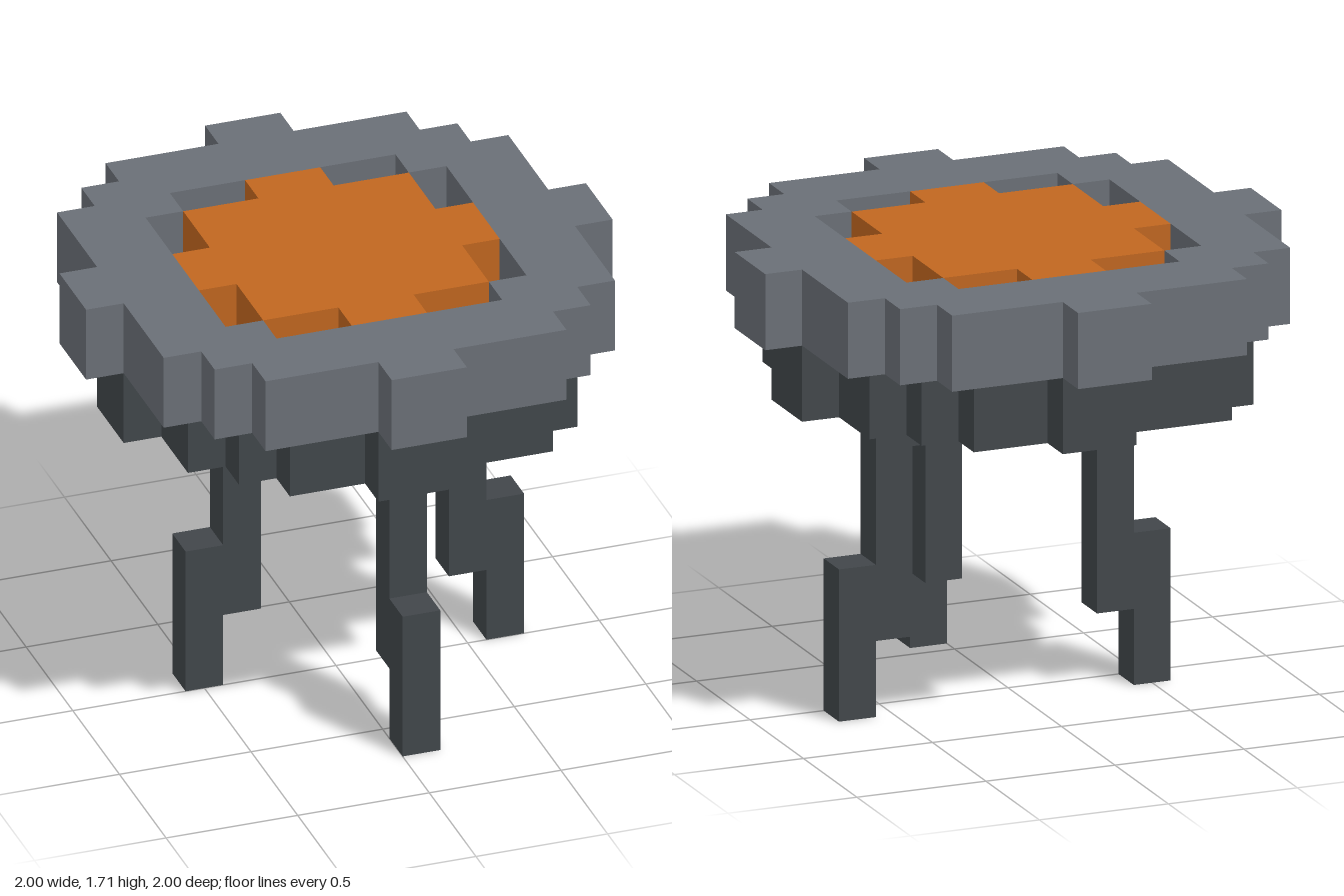
import * as THREE from 'three';

const U = 1 / 7; // size of one block

// Stair-stepped points of one quadrant, from the z axis side to the x axis side
function stairs(corners) {
  const pts = [];
  corners.forEach(([x, z], i) => {
    if (i > 0) pts.push([corners[i - 1][0], z]);
    pts.push([x, z]);
  });
  return pts;
}

// Closed blocky outline; the second list steps the two mixed-sign quadrants
function outline(same, mixed = same) {
  const a = stairs(same), b = stairs(mixed);
  const br = b.slice().reverse();
  return [
    ...a,
    ...br.map(([x, z]) => [x, -z]),
    ...a.map(([x, z]) => [-x, -z]),
    ...br.map(([x, z]) => [-x, z]),
  ].map(([x, z]) => new THREE.Vector2(x * U, -z * U));
}

// Horizontal slab between two block heights
function slab(name, points, y0, y1, material, hole) {
  const shape = new THREE.Shape(points);
  if (hole) shape.holes.push(new THREE.Path(hole));
  const geo = new THREE.ExtrudeGeometry(shape, { depth: (y1 - y0) * U, bevelEnabled: false });
  geo.rotateX(-Math.PI / 2);
  geo.translate(0, y0 * U, 0);
  const mesh = new THREE.Mesh(geo, material);
  mesh.name = name;
  return mesh;
}

function mat(name, color) {
  const m = new THREE.MeshStandardMaterial({ color });
  m.name = name;
  return m;
}

export function createModel() {
  const group = new THREE.Group();
  group.name = 'brazier';
  const grey = mat('grey metal', 0x6a6f76);
  const dark = mat('dark metal', 0x41464a);
  const orange = mat('glowing orange', 0xc0661f);

  // Rim, bowl and glowing coals
  const rim = outline([[1, 7], [4, 6], [5, 5], [6, 4], [7, 1]]);
  const opening = outline([[3, 4], [4, 3]]);
  const bowl = outline(
    [[1, 6], [4, 5], [5, 4], [6, 1]],
    [[1, 6], [3, 5], [4, 4], [5, 3], [6, 1]]
  );
  const coals = outline([[1, 4], [3, 3], [4, 1]]);
  group.add(
    slab('rim', rim, 10, 12, grey, opening),
    slab('bowl', bowl, 8, 10, dark),
    slab('coals', coals, 10, 12, orange)
  );

  // Three stepped legs sharing one side profile
  const profile = [[0, 7], [1, 7], [1, 2], [2, 2], [2, 0], [3, 0], [3, 4], [2, 4], [2, 8], [0, 8]];
  const legGeo = new THREE.ExtrudeGeometry(
    new THREE.Shape(profile.map(([r, y]) => new THREE.Vector2(r * U, y * U))),
    { depth: U, bevelEnabled: false }
  );
  const legs = [
    ['leftLeg', 2, -1, 0],
    ['rightLeg', -1, 0, Math.PI],
    ['frontLeg', 1, 2, -Math.PI / 2],
  ];
  for (const [name, x, z, turn] of legs) {
    const leg = new THREE.Mesh(legGeo, dark);
    leg.name = name;
    leg.position.set(x * U, 0, z * U);
    leg.rotation.y = turn;
    group.add(leg);
  }
  return group;
}
